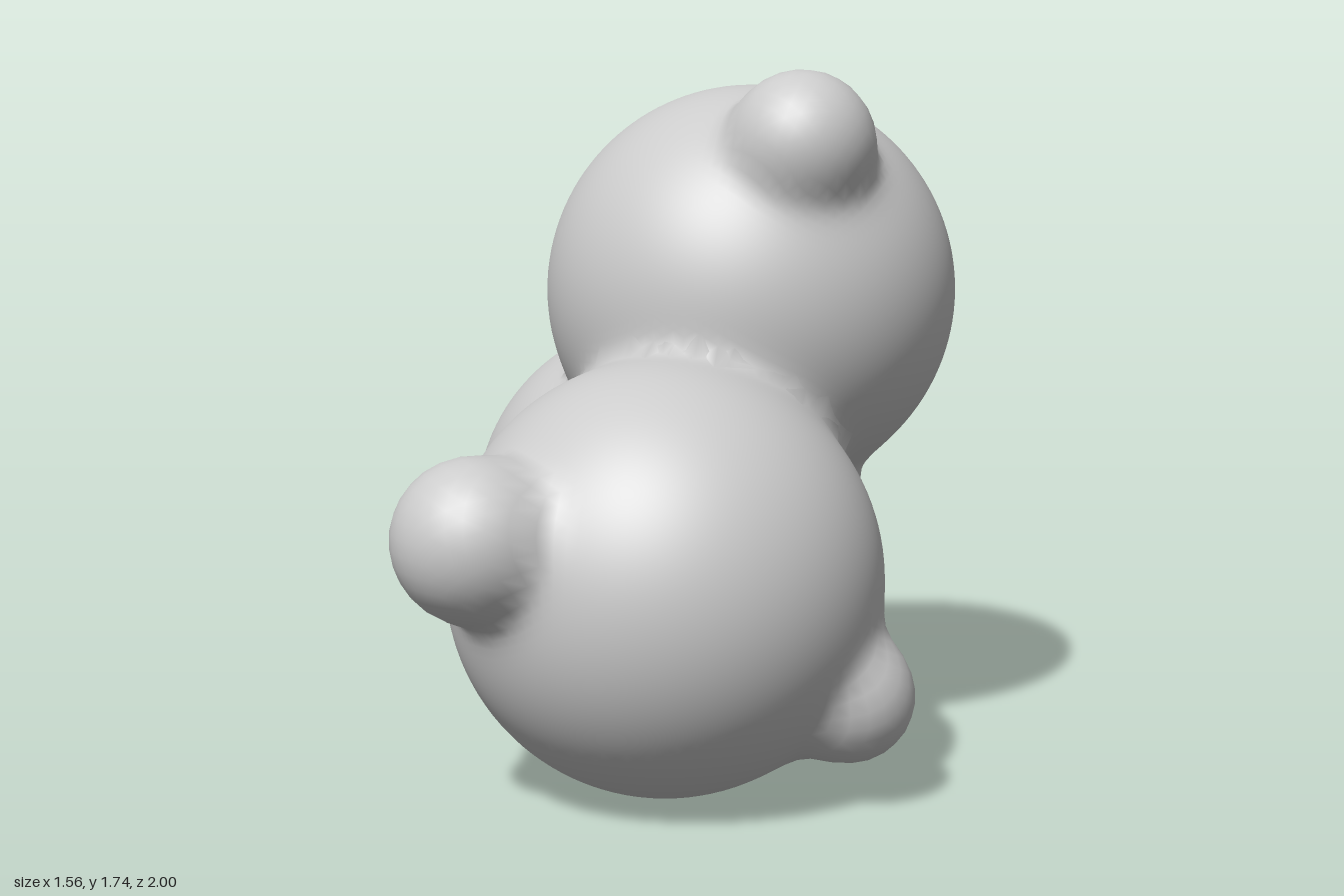
import * as THREE from 'three';
import { mergeVertices } from 'three/addons/utils/BufferGeometryUtils.js';

// Each body: a star centre and the balls [x, y, z, radius] that form it; first ball is the main one
const BODIES = [
  { name: 'topBody', balls: [[0.25, 1.18, 0.01, 0.525], [0.28, 1.57, 0.36, 0.18]] },
  { name: 'frontBody', balls: [[-0.09, 0.535, 0.47, 0.53], [-0.59, 0.69, 0.68, 0.195], [0.31, 0.27, 0.68, 0.16]] },
  { name: 'backBody', balls: [[0.13, 0.53, -0.415, 0.525], [0.3, 0.43, -0.84, 0.16]] },
  { name: 'core', center: [0.1, 0.67, 0.02], balls: [[0.1, 0.67, 0.02, 0.2], [-0.19, 0.71, -0.05, 0.15], [0.38, 0.65, 0.08, 0.14]] },
];
const ALL = BODIES.flatMap((b) => b.balls);
const BLEND = 0.03;

const ballDistance = (p, b) => Math.hypot(p.x - b[0], p.y - b[1], p.z - b[2]) - b[3];
const nearest = (p, balls) => Math.min(...balls.map((b) => ballDistance(p, b)));

// Smooth union of all balls: negative inside, zero on the skin
function field(p) {
  let sum = 0;
  for (const b of ALL) sum += Math.exp(-ballDistance(p, b) / BLEND);
  return -BLEND * Math.log(sum);
}

// Outward normal of the blended skin
function gradient(p) {
  const e = 0.004;
  const slope = (x, y, z) =>
    field(new THREE.Vector3(p.x + x, p.y + y, p.z + z)) - field(new THREE.Vector3(p.x - x, p.y - y, p.z - z));
  return new THREE.Vector3(slope(e, 0, 0), slope(0, e, 0), slope(0, 0, e)).normalize();
}

// Push a sphere's vertices outward to the blended skin, stopping just inside any neighbour
function bodyGeometry(body) {
  let geometry = new THREE.IcosahedronGeometry(1, 20);
  geometry.deleteAttribute('normal');
  geometry.deleteAttribute('uv');
  geometry = mergeVertices(geometry, 1e-5);

  const centre = new THREE.Vector3(...(body.center ?? body.balls[0].slice(0, 3)));
  const others = BODIES.filter((b) => b !== body).flatMap((b) => b.balls);
  const position = geometry.attributes.position;
  const normals = [];
  const dir = new THREE.Vector3();
  const p = new THREE.Vector3();
  const at = (t) => p.copy(centre).addScaledVector(dir, t);
  const beyond = (t) => {
    at(t);
    return field(p) > 0 || nearest(p, body.balls) - nearest(p, others) > 0.07;
  };

  for (let i = 0; i < position.count; i++) {
    dir.fromBufferAttribute(position, i).normalize();
    let low = 0;
    let high = 0.02;
    while (high < 1 && !beyond(high)) {
      low = high;
      high += 0.02;
    }
    for (let n = 0; n < 10; n++) {
      const mid = (low + high) / 2;
      if (beyond(mid)) high = mid;
      else low = mid;
    }
    at(low);
    position.setXYZ(i, p.x, p.y, p.z);
    const normal = gradient(p);
    normals.push(normal.x, normal.y, normal.z);
  }
  geometry.setAttribute('normal', new THREE.Float32BufferAttribute(normals, 3));
  return geometry;
}

export function createModel() {
  const model = new THREE.Group();
  model.name = 'blobCluster';
  const material = new THREE.MeshStandardMaterial({ color: 0xcccccc });
  for (const body of BODIES) {
    const mesh = new THREE.Mesh(bodyGeometry(body), material);
    mesh.name = body.name;
    model.add(mesh);
  }
  return model;
}
